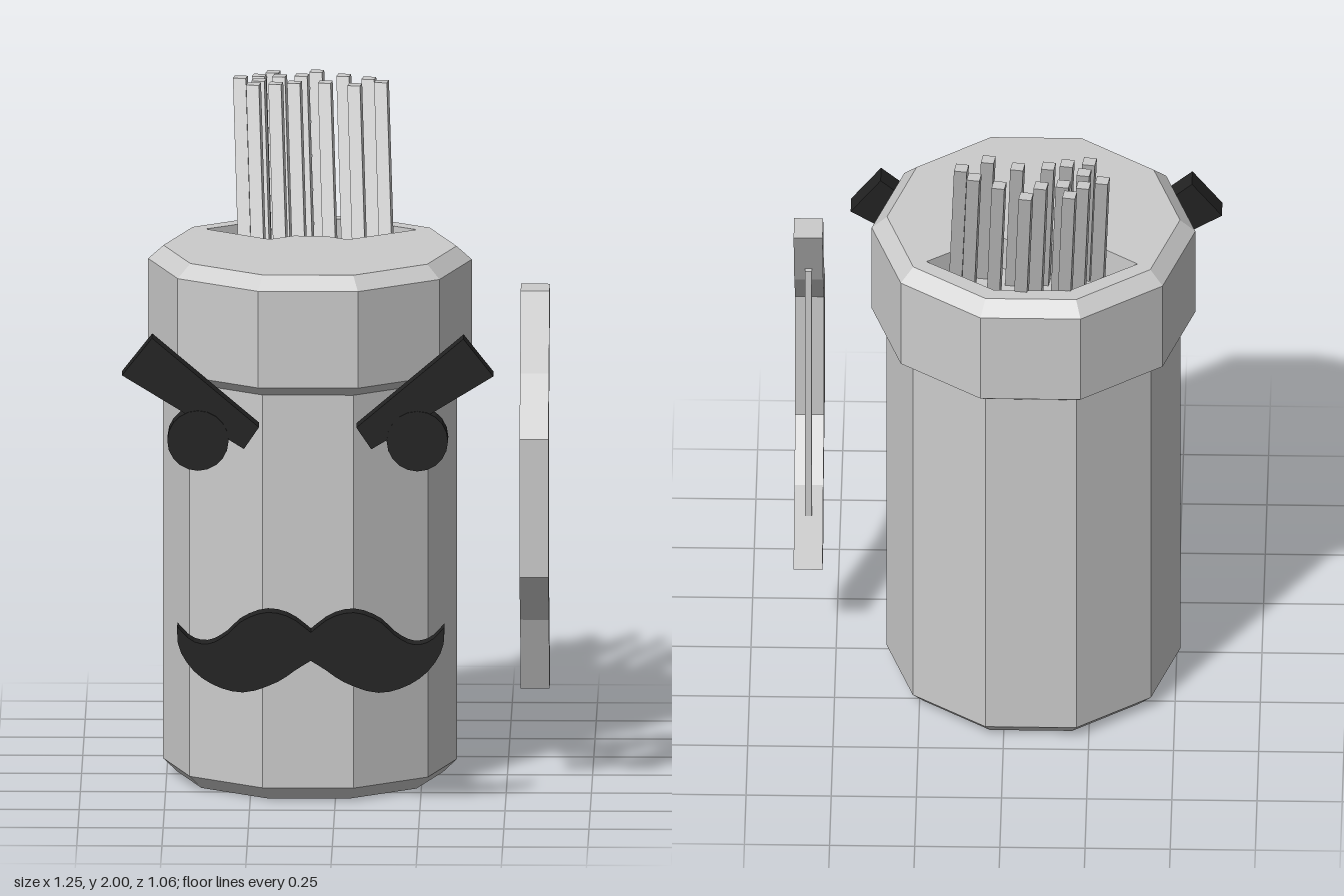
import * as THREE from 'three';

const grey = new THREE.MeshStandardMaterial({ color: 0xcccccc, flatShading: true, side: THREE.DoubleSide });
const dark = new THREE.MeshStandardMaterial({ color: 0x222222, flatShading: true });
const CX = -0.08, CZ = -0.035; // axis of the ten-sided container

export function createModel() {
  const model = new THREE.Group();
  const add = (name, geometry, material = grey, x = 0, y = 0, z = 0) => {
    const mesh = new THREE.Mesh(geometry, material);
    mesh.name = name;
    mesh.position.set(x, y, z);
    model.add(mesh);
    return mesh;
  };
  const shapeOf = (pts) => new THREE.Shape(pts.map(([x, y]) => new THREE.Vector2(x, y)));
  const extrude = (shape, depth) =>
    new THREE.ExtrudeGeometry(shape, { depth, bevelEnabled: false, curveSegments: 6 });
  const decagonLathe = (pts) =>
    new THREE.LatheGeometry(pts.map(([r, y]) => new THREE.Vector2(r, y)), 10, Math.PI / 10);

  // Container body and the wider collar round its top
  add('body', decagonLathe([[0, 0], [0.39, 0], [0.432, 0.04], [0.432, 1.25]]), grey, CX, 0, CZ);
  add('collar', decagonLathe([[0.425, 1.215], [0.475, 1.25], [0.475, 1.54], [0.43, 1.58]]), grey, CX, 0, CZ);

  // Lid plate with a recessed opening for the shafts; shape y is -z
  const rim = [];
  for (let i = 0; i < 10; i++) {
    const a = (i * Math.PI) / 5;
    rim.push([CX + 0.43 * Math.cos(a), -CZ + 0.43 * Math.sin(a)]);
  }
  const lid = shapeOf(rim);
  lid.holes.push(shapeOf([
    [-0.39, 0.26], [-0.2, 0.12], [-0.13, 0.17], [-0.04, 0.17],
    [0.03, 0.12], [0.23, 0.26], [0.03, 0.4], [-0.19, 0.4],
  ]));
  add('lid', extrude(lid, 0.11).rotateX(-Math.PI / 2), grey, 0, 1.47, 0);
  add('openingFloor', new THREE.ShapeGeometry(shapeOf(rim)).rotateX(-Math.PI / 2), grey, 0, 1.471, 0);

  // Leaning square shafts, placed by the centre of their level tops (x, z)
  const tops = [
    [-0.195, -0.505], [-0.067, -0.515], [-0.235, -0.455], [-0.175, -0.45], [-0.29, -0.43],
    [-0.11, -0.46], [0.013, -0.46], [0.087, -0.42], [-0.235, -0.39], [-0.25, -0.335],
    [-0.185, -0.345], [-0.13, -0.36], [-0.04, -0.365], [0.047, -0.33], [0.125, -0.375],
  ];
  const lean = new THREE.Matrix4().set(
    1, -0.035, 0, 0,
    0, 1, 0, 0,
    0, -0.3, 1, 0,
    0, 0, 0, 1);
  const shaft = new THREE.BoxGeometry(0.038, 0.53, 0.038)
    .rotateY(-0.15).translate(0, -0.265, 0).applyMatrix4(lean);
  tops.forEach(([x, z]) => add('arrowShaft', shaft, grey, x, 2, z));

  // Round eyes under slanted, tapering brows, mirrored about the container axis
  for (const side of [-1, 1]) {
    const name = side > 0 ? 'left' : 'right';
    add(name + 'Eye', new THREE.CylinderGeometry(0.09, 0.09, 0.07, 20).rotateX(Math.PI / 2),
      dark, CX + side * 0.322, 1.1, 0.425);
    const brow = [[0.545, 1.295], [0.457, 1.407], [0.143, 1.14], [0.187, 1.075]];
    add(name + 'Brow', extrude(shapeOf(brow.map(([x, y]) => [side * x, y])), 0.066), dark, CX, 0, 0.39);
  }

  // Moustache: one half outline drawn with curves, then mirrored
  const upper = [[0, 0.54], [0.06, 0.585], [0.13, 0.6], [0.2, 0.575], [0.25, 0.53], [0.3, 0.505], [0.35, 0.515], [0.392, 0.557]];
  const lower = [[0.392, 0.557], [0.386, 0.49], [0.34, 0.42], [0.27, 0.375], [0.19, 0.36], [0.1, 0.39], [0.04, 0.43], [0, 0.455]];
  const smooth = (pts) =>
    new THREE.SplineCurve(pts.map(([x, y]) => new THREE.Vector2(x, y))).getPoints(18);
  const half = [...smooth(upper), ...smooth(lower).slice(1)];
  const mirrored = half.slice(1, -1).reverse().map((p) => new THREE.Vector2(-p.x, p.y));
  add('moustache', extrude(new THREE.Shape([...half, ...mirrored]), 0.058), dark, -0.07, 0, 0.47);

  // Bow at the model's left: outline of (z, height from middle), mirrored top to bottom
  const outer = [[0.1, 0.597], [0.195, 0.37], [0.36, 0.207]];
  const inner = [[0.245, 0.212], [0.11, 0.37], [0, 0.597]];
  const flip = (pts) => pts.map(([z, y]) => [z, -y]).reverse();
  const bow = [...outer, ...flip(outer), ...flip(inner), ...inner].map(([z, y]) => [-z, y]);
  add('bow', extrude(shapeOf(bow), 0.085).rotateY(Math.PI / 2), grey, 0.54, 0.878, 0);
  add('bowString', new THREE.BoxGeometry(0.02, 0.88, 0.02), grey, 0.583, 0.868, 0.076);

  return model;
}
